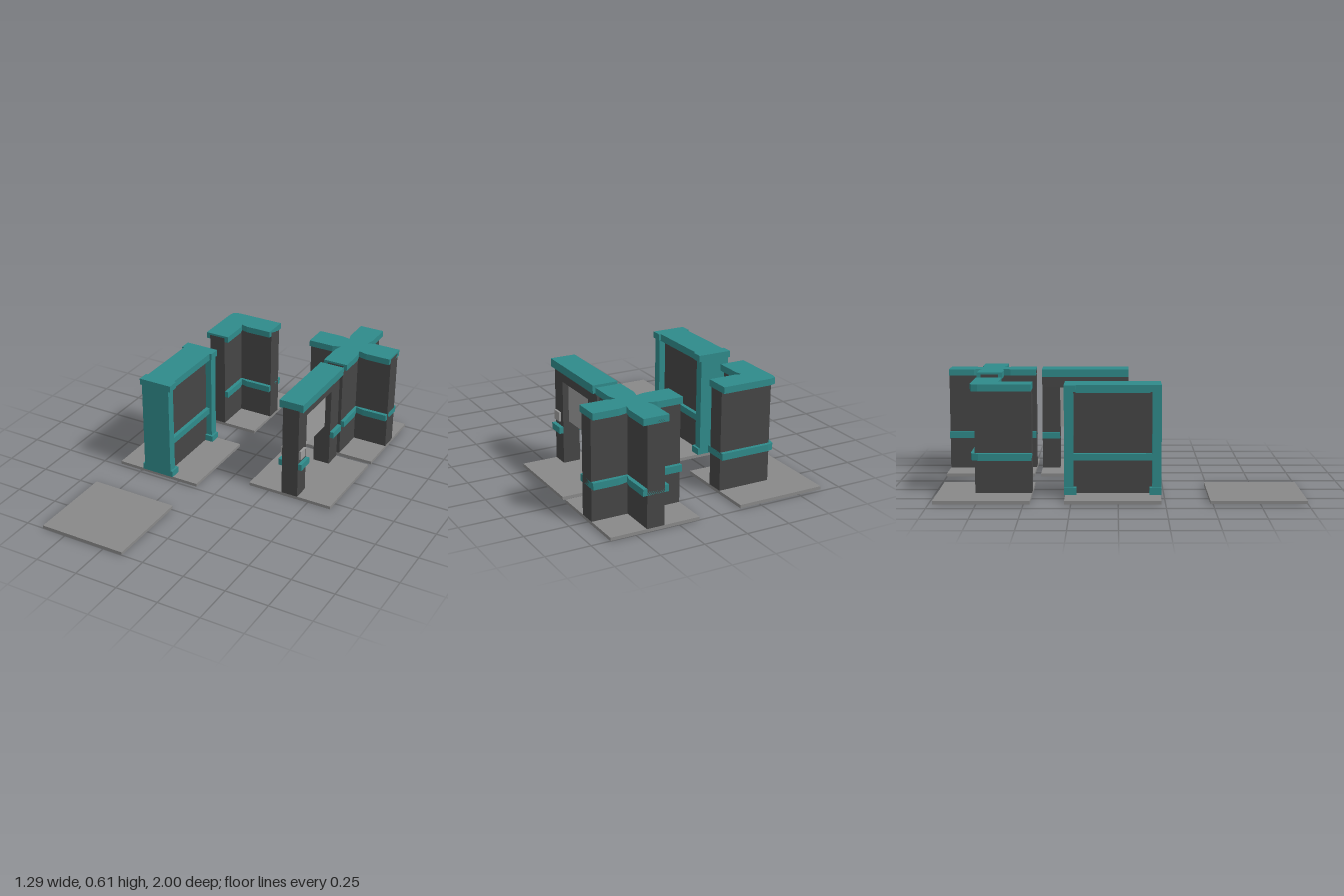
import * as THREE from 'three';

const mat = (color) => new THREE.MeshStandardMaterial({ color, flatShading: true });
const TEAL = mat(0x2f8a8a), DARK = mat(0x454545), FLOOR = mat(0x888888), LIGHT = mat(0x9c9c9c);

const HALF = 0.257;   // half a tile
const SLAB = 0.018;   // floor thickness
const TOP = 0.612;    // wall height
const WALL = 0.05;    // half wall thickness
const TRIM = 0.073;   // half trim width

// Box from its minimum and maximum corners
function box(parent, name, m, x0, x1, y0, y1, z0, z1) {
  const mesh = new THREE.Mesh(new THREE.BoxGeometry(x1 - x0, y1 - y0, z1 - z0), m);
  mesh.position.set((x0 + x1) / 2, (y0 + y1) / 2, (z0 + z1) / 2);
  mesh.name = name;
  parent.add(mesh);
}

// Plan outline (x, -z) raised from y0 to y1
function slab(parent, name, m, outline, y0, y1) {
  const shape = new THREE.Shape(outline.map(([x, y]) => new THREE.Vector2(x, y)));
  const geo = new THREE.ExtrudeGeometry(shape, { depth: y1 - y0, bevelEnabled: false });
  geo.rotateX(-Math.PI / 2);
  const mesh = new THREE.Mesh(geo, m);
  mesh.position.y = y0;
  mesh.name = name;
  parent.add(mesh);
}

function tile(root, name, x, z) {
  const g = new THREE.Group();
  g.name = name;
  g.position.set(x, 0, z);
  box(g, 'floorSlab', FLOOR, -HALF, HALF, 0, SLAB, -HALF, HALF);
  root.add(g);
  return g;
}

// Wall body with a cap and a middle band sharing one plan outline
function trimmedWall(g, body, trim) {
  slab(g, 'wallBody', DARK, body, SLAB, 0.6);
  slab(g, 'middleBand', TEAL, trim, 0.2, 0.238);
  slab(g, 'topCap', TEAL, trim, 0.575, TOP);
}

// Plan of a plus; the inner corners are pinched to p
function plus(h, p) {
  const pts = [];
  for (let i = 0; i < 4; i++) {
    const c = Math.round(Math.cos(i * Math.PI / 2)), s = Math.round(Math.sin(i * Math.PI / 2));
    for (const [x, y] of [[HALF, -h], [HALF, h], [h + 0.035, h], [p, p], [h, h + 0.035]])
      pts.push([x * c - y * s, x * s + y * c]);
  }
  return pts;
}

export function createModel() {
  const root = new THREE.Group();
  root.name = 'modularWallSet';

  // Plain floor
  tile(root, 'floorTile', -0.388, 0.743);

  // Corner wall
  const corner = tile(root, 'cornerTile', -0.388, -0.723);
  const w = WALL, t = TRIM;
  trimmedWall(corner,
    [[HALF, w], [-w, w], [-w, -HALF], [w, -HALF], [w, -w], [HALF, -w]],
    [[HALF, t], [-0.03, t], [-0.065, 0.063], [-t, 0.03], [-t, -HALF],
      [t, -HALF], [t, -0.1], [0.062, -0.062], [0.1, -t], [HALF, -t]]);

  // Crossing walls
  const cross = tile(root, 'crossTile', 0.386, -0.743);
  trimmedWall(cross, plus(w, w), plus(t, 0.06));

  // Free-standing wall with end pillars
  const wall = tile(root, 'endedWallTile', -0.388, -0.028);
  box(wall, 'wallBody', DARK, -w, w, SLAB, 0.58, -0.22, 0.22);
  box(wall, 'middleBand', TEAL, -t, t, 0.2, 0.238, -0.22, 0.22);
  box(wall, 'topCap', TEAL, -0.087, 0.087, 0.57, TOP, -0.2, 0.2);
  for (const s of [-1, 1]) {
    const part = (name, hx, y0, y1, depth) => {
      const a = s * (0.262 - depth), b = s * 0.262;
      box(wall, name, TEAL, -hx, hx, y0, y1, Math.min(a, b), Math.max(a, b));
    };
    part('endPillar', 0.087, SLAB, 0.6, 0.05);
    part('pillarBase', 0.1, SLAB, 0.055, 0.065);
    part('pillarCap', 0.1, 0.575, TOP, 0.065);
  }

  // Doorway wall with a half-raised door
  const door = tile(root, 'doorTile', 0.384, -0.192);
  const d0 = -0.152, d1 = 0.16;
  const sides = [[-HALF, d0], [d1, HALF]];
  for (const [a, b] of sides) {
    box(door, 'doorJamb', DARK, -w, w, SLAB, 0.5, a, b);
    for (const s of [-1, 1])
      box(door, 'middleBand', TEAL, Math.min(s * w, s * t), Math.max(s * w, s * t), 0.196, 0.234, a, b);
  }
  box(door, 'lintel', DARK, -w, w, 0.5, 0.57, -HALF, HALF);
  box(door, 'topCap', TEAL, -t, t, 0.566, TOP, -HALF, HALF);
  box(door, 'slidingDoor', LIGHT, -0.015, 0.015, 0.262, 0.5, d0, d1);
  for (const s of [-1, 1])
    box(door, 'doorSwitch', LIGHT, Math.min(s * w, s * 0.062), Math.max(s * w, s * 0.062), 0.258, 0.312, 0.188, 0.246);

  return root;
}
